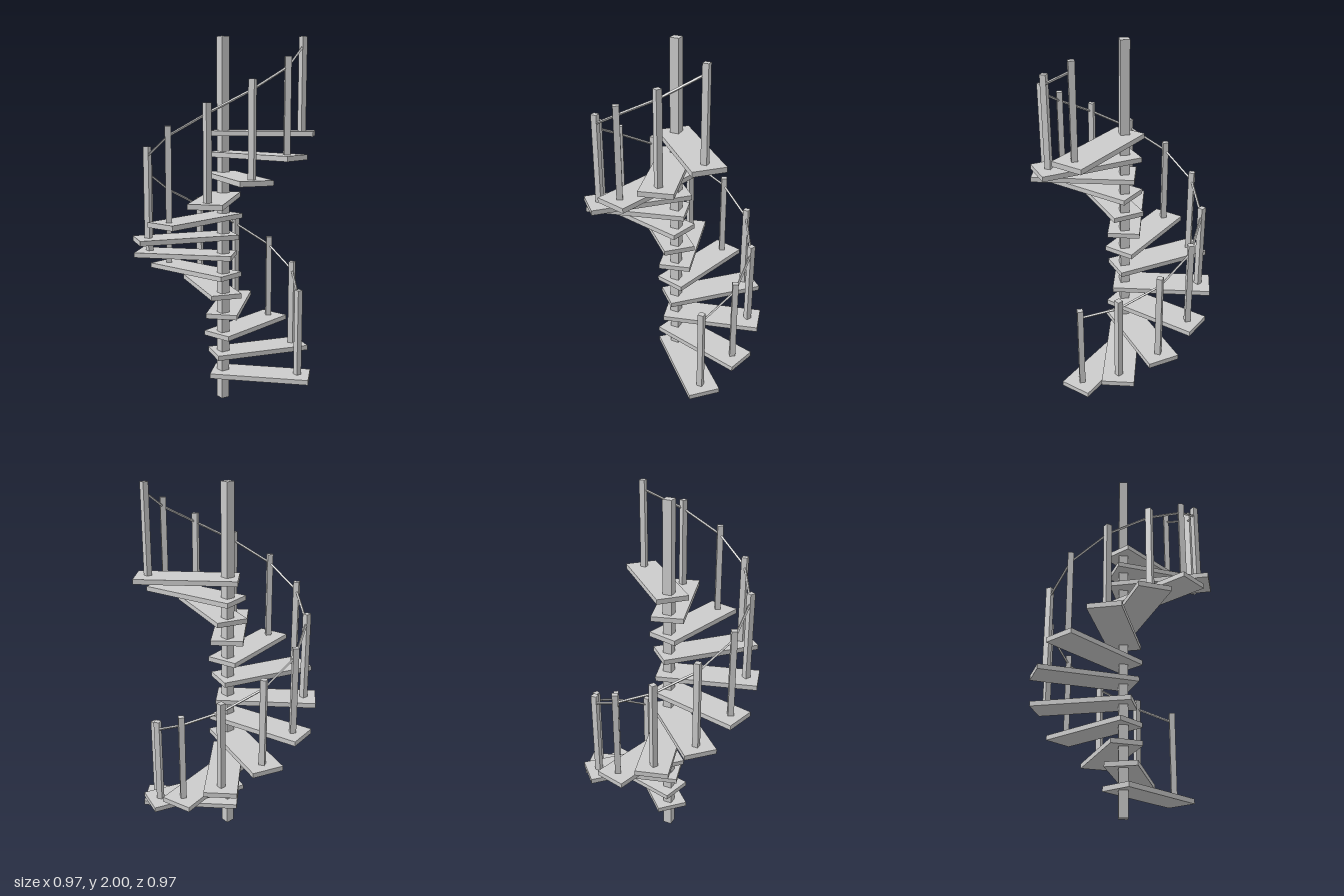
import * as THREE from 'three';

const STEPS = 13, TURN = Math.PI / 6, RISE = 0.1123, FIRST = 0.149;
const POST_RADIUS = 0.42, POST_HEIGHT = 0.496, RAIL_HEIGHT = 0.446;

export function createModel() {
  const group = new THREE.Group();
  const material = new THREE.MeshStandardMaterial({ color: 0xcccccc, flatShading: true });
  const add = (parent, geometry, name) => {
    const mesh = new THREE.Mesh(geometry, material);
    mesh.name = name;
    parent.add(mesh);
    return mesh;
  };

  // Square central column, set on its corner
  add(group, new THREE.CylinderGeometry(0.035, 0.035, 2, 4).translate(0, 1, 0), 'centralPole');

  // Treads winding up the column, each with a baluster near its outer end
  const tread = new THREE.BoxGeometry(0.545, 0.027, 0.175).translate(0.2135, 0, 0);
  const post = new THREE.CylinderGeometry(0.022, 0.022, POST_HEIGHT, 4)
    .translate(POST_RADIUS, POST_HEIGHT / 2, 0);
  const railPoints = [];
  for (let i = 0; i < STEPS; i++) {
    const step = new THREE.Group();
    step.name = 'step' + (i + 1);
    step.position.y = FIRST + i * RISE;
    step.rotation.y = i * TURN;
    add(step, tread, 'tread');
    add(step, post, 'baluster');
    group.add(step);
    railPoints.push(new THREE.Vector3(
      POST_RADIUS * Math.cos(i * TURN),
      step.position.y + RAIL_HEIGHT,
      -POST_RADIUS * Math.sin(i * TURN)));
  }

  // Thin straight handrail lengths from baluster to baluster
  const handrail = new THREE.Group();
  handrail.name = 'handrail';
  for (let i = 0; i < STEPS - 1; i++) {
    const a = railPoints[i], b = railPoints[i + 1];
    const rod = new THREE.CylinderGeometry(0.007, 0.007, a.distanceTo(b), 4).rotateX(Math.PI / 2);
    const mesh = add(handrail, rod, 'railSection');
    mesh.position.lerpVectors(a, b, 0.5);
    mesh.lookAt(b);
  }
  group.add(handrail);
  return group;
}
